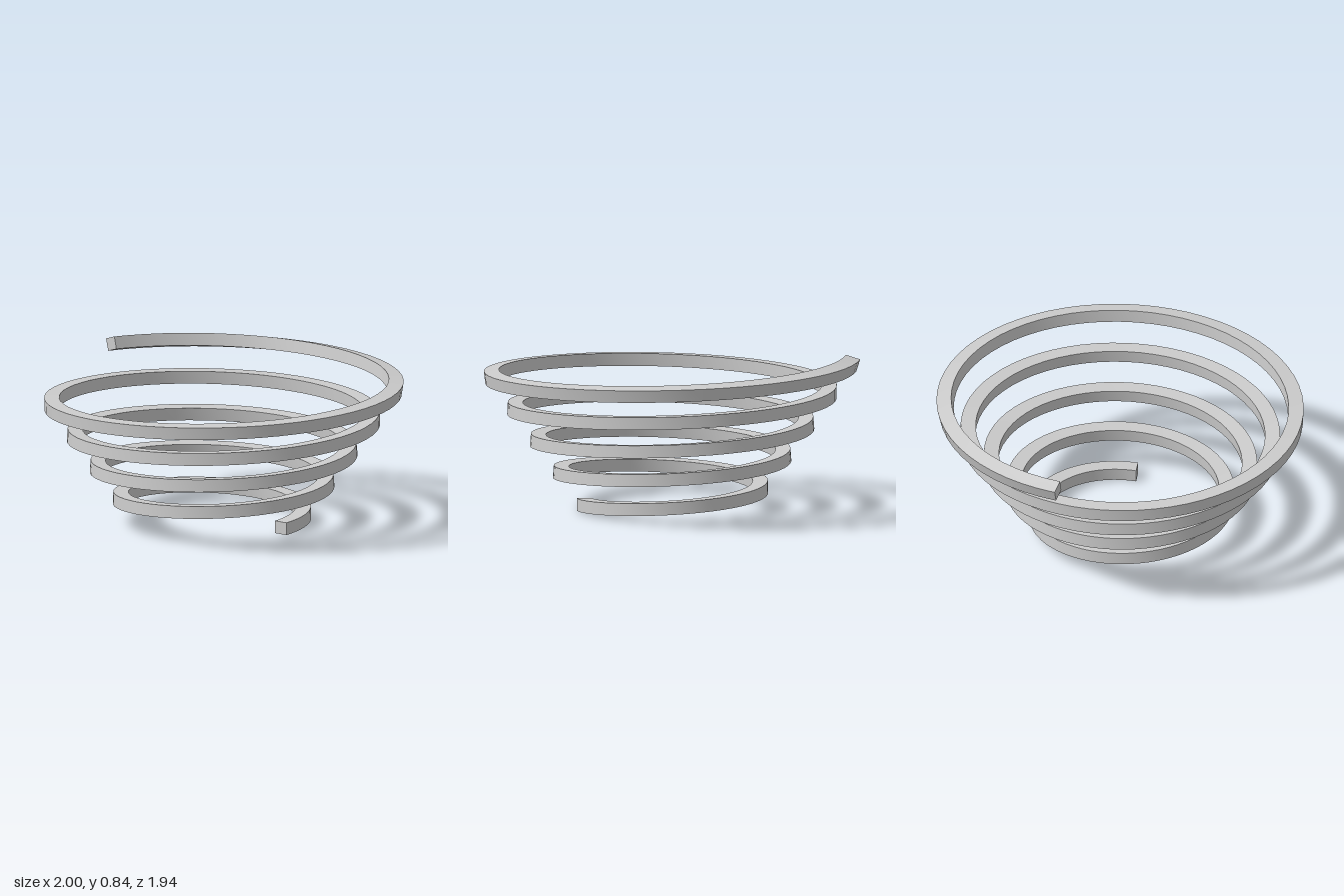
import * as THREE from 'three';

const WIDTH = 0.08, HEIGHT = 0.067;
const START = 0.018, END = 4.479, STEPS = 288; // in turns
const CORNERS = [[-1, -1], [1, -1], [1, 1], [-1, 1]];

// Roll of the bar in degrees at given turns (positive lifts the inner edge)
const ROLL = [[0, 0], [1, -4], [2.25, -5], [3.2, -2], [3.8, 3], [4.25, 11], [4.5, 18]];
function rollAt(n) {
  const i = Math.max(1, ROLL.findIndex(([t]) => t >= n));
  const [t0, a] = ROLL[i - 1], [t1, b] = ROLL[i];
  return THREE.MathUtils.degToRad(a + (b - a) * (n - t0) / (t1 - t0));
}

// One corner of the rectangular section after n turns of the widening helix
function corner(n, k) {
  const angle = n * Math.PI * 2, roll = rollAt(n);
  const u = CORNERS[k][0] * WIDTH / 2, v = CORNERS[k][1] * HEIGHT / 2;
  const r = 0.44 + 0.122 * n + u * Math.cos(roll) + v * Math.sin(roll);
  const y = 0.033 + 0.171 * n - u * Math.sin(roll) + v * Math.cos(roll);
  return [0.025 + r * Math.cos(angle), y, 0.03 - r * Math.sin(angle)];
}

function coilGeometry() {
  const pos = [], index = [];
  // Four walls, each its own strip so the long edges stay sharp
  for (let k = 0; k < 4; k++) {
    const base = pos.length / 3;
    for (let i = 0; i <= STEPS; i++) {
      const n = START + (END - START) * i / STEPS;
      pos.push(...corner(n, k), ...corner(n, (k + 1) % 4));
      if (i < STEPS) {
        const a = base + i * 2;
        index.push(a, a + 2, a + 1, a + 1, a + 2, a + 3);
      }
    }
  }
  // Flat end caps
  for (const [n, order] of [[START, [0, 1, 2, 3]], [END, [3, 2, 1, 0]]]) {
    const a = pos.length / 3;
    order.forEach((k) => pos.push(...corner(n, k)));
    index.push(a, a + 1, a + 2, a, a + 2, a + 3);
  }
  const geo = new THREE.BufferGeometry();
  geo.setAttribute('position', new THREE.Float32BufferAttribute(pos, 3));
  geo.setIndex(index);
  geo.computeVertexNormals();
  return geo;
}

export function createModel() {
  const group = new THREE.Group();
  group.name = 'conicalSpring';
  const coil = new THREE.Mesh(coilGeometry(), new THREE.MeshStandardMaterial({ color: 0xcccccc }));
  coil.name = 'coil';
  group.add(coil);
  return group;
}
